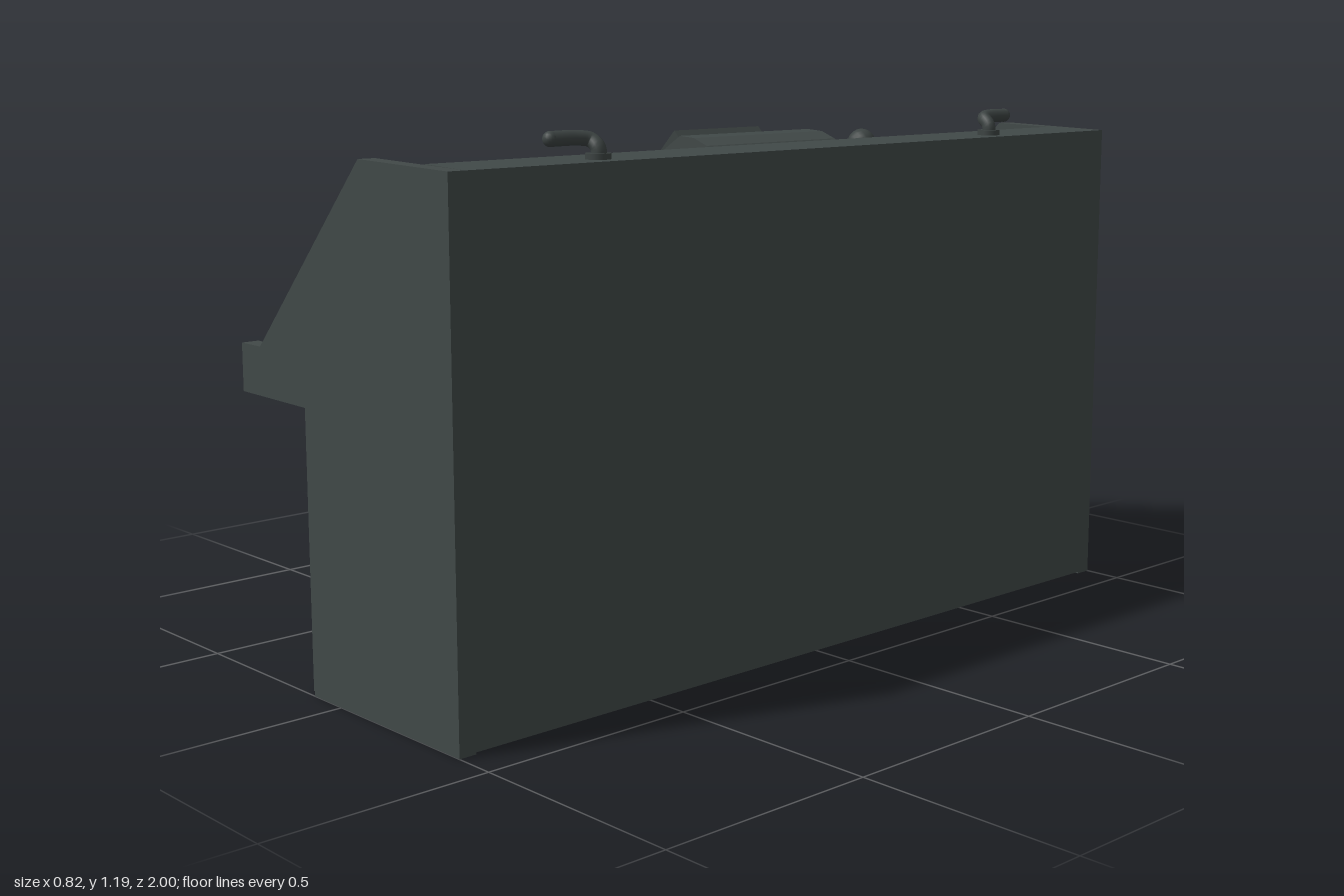
import * as THREE from 'three';

const mat = (name, hex) => {
  const m = new THREE.MeshStandardMaterial({ color: hex });
  m.name = name;
  return m;
};

export function createModel() {
  const root = new THREE.Group();
  root.name = 'controlDesk';
  const body = mat('slate body', 0x414948);
  const dark = mat('dark trim', 0x3c4342);
  const pale = mat('pale metal', 0x96938e);
  const glass = mat('grey screen', 0x858684);

  const add = (name, geo, material, parent = root, x = 0, y = 0, z = 0) => {
    const m = new THREE.Mesh(geo, material);
    m.name = name;
    m.position.set(x, y, z);
    parent.add(m);
    return m;
  };
  const box = (name, w, h, d, material, parent, x, y, z) =>
    add(name, new THREE.BoxGeometry(w, h, d), material, parent, x, y, z);
  const disc = (name, r, h, material, parent, x, y, z, r2 = r) =>
    add(name, new THREE.CylinderGeometry(r2, r, h, 24), material, parent, x, y, z);
  const ball = (name, r, material, parent, x, y, z) =>
    add(name, new THREE.SphereGeometry(r, 16, 10), material, parent, x, y, z);
  // Side profile (x, y) swept from z0 to z1
  const sweep = (name, pts, z0, z1, material, parent = root) => {
    const shape = new THREE.Shape(pts.map(p => new THREE.Vector2(p[0], p[1])));
    const geo = new THREE.ExtrudeGeometry(shape, { depth: z1 - z0, bevelEnabled: false });
    return add(name, geo, material, parent, 0, 0, z0);
  };
  const tube = (name, pts, r, material, parent = root, closed = false) => {
    const curve = new THREE.CatmullRomCurve3(pts.map(p => new THREE.Vector3(...p)), closed);
    return add(name, new THREE.TubeGeometry(curve, 28, r, 10, closed), material, parent);
  };
  // Tilted frame: local x runs up the slope, local y points out of the panel
  const slope = (name, x, y, angle) => {
    const g = new THREE.Group();
    g.name = name;
    g.position.set(x, y, 0);
    g.rotation.z = angle;
    root.add(g);
    return g;
  };

  // Desk, instrument slope, top and thick back wall
  sweep('deskBody', [[-0.343, 0.617], [-0.343, 0.72], [0.02, 0.77], [0.03, 0.82], [0.28, 1.1], [0.28, 1.135],
    [0.408, 1.13], [0.408, 0.004], [0.31, 0.004], [0.31, 0.617]], -0.96, 0.96, body);

  // End panels, thicker below the desk, with a front trim on each leg
  for (const s of [-1, 1]) {
    const z0 = s < 0 ? -1 : 0.96;
    sweep('endPanel', [[-0.343, 0.62], [-0.343, 0.725], [-0.27, 0.725], [0.115, 1.138], [0.408, 1.13],
      [0.408, 0], [-0.1, 0], [-0.1, 0.617]], z0, z0 + 0.04, body);
    box('legTrim', 0.032, 0.618, 0.06, body, root, -0.116, 0.309, s * 0.952);
    box('legLining', 0.41, 0.614, 0.03, body, root, 0.105, 0.311, s * 0.946);
    box('skirting', 0.41, 0.09, 0.012, body, root, 0.105, 0.049, s * 0.928);
  }

  // Centre pedestal with plinth and pull handle
  box('pedestal', 0.38, 0.62, 0.38, body, root, 0.122, 0.31, 0);
  box('plinth', 0.395, 0.09, 0.42, body, root, 0.1195, 0.045, 0.002);
  box('pedestalDoor', 0.008, 0.46, 0.31, dark, root, -0.07, 0.35, 0);
  tube('pedestalHandle', [[-0.073, 0.23, -0.15], [-0.106, 0.25, -0.15], [-0.116, 0.325, -0.15],
    [-0.106, 0.4, -0.15], [-0.073, 0.42, -0.15]], 0.012, pale);

  // Side monitors, gauges and small control boxes
  const panel = slope('instrumentSlope', 0.03, 0.82, Math.atan2(0.28, 0.25));
  for (const s of [-1, 1]) {
    const z = s * 0.7;
    const frame = new THREE.Group();
    frame.name = 'monitor';
    panel.add(frame);
    box('monitorBase', 0.35, 0.012, 0.48, body, frame, 0.195, 0.006, z);
    for (const e of [-1, 1]) {
      box('monitorRim', 0.03, 0.016, 0.44, body, frame, 0.195 + e * 0.15, 0.014, z);
      box('monitorRim', 0.33, 0.016, 0.03, body, frame, 0.195, 0.014, z + e * 0.215);
    }
    box('monitorScreen', 0.25, 0.008, 0.36, dark, frame, 0.195, 0.014, z);

    const gz = s * 0.325;
    disc('gaugeRim', 0.092, 0.026, pale, panel, 0.132, 0.013, gz);
    disc('gaugeFace', 0.076, 0.006, glass, panel, 0.132, 0.027, gz);
    box('controlBox', 0.13, 0.03, 0.17, dark, panel, 0.3, 0.015, s * 0.33);
  }
  disc('boxKnobStem', 0.02, 0.06, dark, panel, 0.31, 0.05, -0.37);
  ball('boxKnob', 0.033, dark, panel, 0.325, 0.08, -0.36);
  box('boxLabel', 0.05, 0.008, 0.07, glass, panel, 0.265, 0.033, -0.31);
  disc('boxButton', 0.025, 0.025, pale, panel, 0.3, 0.04, 0.33);

  // Raised centre console with a low hump on top
  sweep('centreConsole', [[-0.07, 0.7], [-0.1, 0.885], [-0.07, 0.935], [0.12, 1.125], [0.165, 1.153],
    [0.21, 1.15], [0.25, 1.135], [0.29, 1.1], [0.29, 0.7]], -0.2, 0.2, body);
  box('consoleDoor', 0.008, 0.1, 0.3, dark, root, -0.089, 0.82, 0).rotation.z = 0.16;
  const face = slope('consoleFace', -0.07, 0.935, Math.PI / 4);
  box('screenHousing', 0.25, 0.03, 0.26, dark, face, 0.165, 0.015, 0.04);
  box('screenBezel', 0.22, 0.008, 0.23, body, face, 0.17, 0.034, 0.04);
  box('screen', 0.16, 0.006, 0.17, glass, face, 0.185, 0.039, 0.015);
  for (let i = 0; i < 4; i++) {
    box('screenKey', 0.022, 0.012, 0.018, dark, face, 0.12 + i * 0.036, 0.04, 0.13);
    box('screenKey', 0.014, 0.01, 0.028, dark, face, 0.08, 0.04, -0.03 + i * 0.04);
  }
  for (const u of [0.12, 0.215]) {
    disc('consoleDial', 0.032, 0.014, pale, face, u, 0.007, -0.145);
    disc('consoleDialKnob', 0.018, 0.03, pale, face, u, 0.022, -0.145, 0.014);
  }
  for (let i = 0; i < 6; i++) {
    disc('rowButton', 0.021, 0.045, dark, face, 0.0, 0.018, -0.16 + i * 0.064);
  }

  // Main controller on its round base
  disc('controllerBase', 0.072, 0.016, pale, root, -0.203, 0.745, 0);
  disc('controllerCollar', 0.052, 0.04, dark, root, -0.2, 0.765, 0);
  box('controllerStem', 0.06, 0.1, 0.05, dark, root, -0.215, 0.8, 0);
  sweep('controllerGrip', [[-0.26, 0.83], [-0.26, 0.88], [-0.2, 0.876], [-0.15, 0.856], [-0.17, 0.835], [-0.22, 0.82]],
    -0.085, 0.08, dark);
  box('controllerBar', 0.1, 0.03, 0.04, dark, root, -0.14, 0.83, 0);
  box('controllerCatch', 0.04, 0.05, 0.1, dark, root, -0.11, 0.81, 0);
  box('controllerStrip', 0.012, 0.012, 0.1, pale, root, -0.268, 0.845, 0);

  // Brake lever on a round plate
  disc('leverPlate', 0.083, 0.016, pale, root, -0.12, 0.758, -0.375);
  disc('leverHub', 0.02, 0.03, pale, root, -0.12, 0.77, -0.375);
  tube('lever', [[-0.12, 0.785, -0.375], [-0.09, 0.795, -0.4], [-0.04, 0.8, -0.43]], 0.009, dark);
  tube('leverPointer', [[-0.12, 0.78, -0.375], [-0.1, 0.78, -0.36], [-0.07, 0.78, -0.34]], 0.006, dark);

  // Switch banks lying on the desk
  const desk = slope('deskTop', -0.34, 0.72, Math.atan2(0.05, 0.36));
  for (const z of [-0.65, 0.61]) {
    box('switchBank', 0.28, 0.01, 0.21, dark, desk, 0.215, 0.005, z);
    for (let i = 0; i < 5; i++) {
      box('switchRail', 0.26, 0.014, 0.025, body, desk, 0.215, 0.013, z - 0.082 + i * 0.041);
      box('switchCap', 0.045, 0.018, 0.03, dark, desk, 0.325, 0.018, z - 0.082 + i * 0.041);
    }
  }

  // Small holder and ringed key on the desk
  box('cardHolder', 0.09, 0.02, 0.1, body, desk, 0.31, 0.01, 0.36);
  tube('keyRing', [[0.14, 0.015, 0.8], [0.2, 0.03, 0.78], [0.26, 0.03, 0.81], [0.24, 0.03, 0.86],
    [0.18, 0.02, 0.85]], 0.006, dark, desk, true);
  disc('keyLock', 0.025, 0.02, dark, desk, 0.15, 0.01, 0.83);

  // Flat band grab handles on the desk edge
  const band = new THREE.Shape();
  band.absarc(0, 0, 0.06, Math.PI * 0.5, Math.PI * 1.5, false);
  band.absarc(0, 0, 0.05, Math.PI * 1.5, Math.PI * 0.5, true);
  const bandGeo = new THREE.ExtrudeGeometry(band, { depth: 0.03, bevelEnabled: false, curveSegments: 20 });
  bandGeo.rotateX(Math.PI / 2);
  for (const s of [-1, 1]) {
    const z = s * 0.36;
    add('grabHandle', bandGeo, pale, root, -0.35, 0.695, z);
    for (const e of [-1, 1]) {
      disc('handleFlange', 0.027, 0.018, pale, root, -0.351, 0.68, z + e * 0.065).rotation.z = Math.PI / 2;
    }

    // Hooks on the top
    disc('hookFoot', 0.026, 0.012, dark, root, 0.368, 1.138, s * 0.605);
    tube('topHook', [[0.37, 1.13, s * 0.605], [0.368, 1.155, s * 0.605], [0.35, 1.17, s * 0.61],
      [0.34, 1.174, s * 0.64], [0.336, 1.174, s * 0.7]], 0.016, dark);
    ball('hookTip', 0.016, dark, root, 0.336, 1.174, s * 0.7);
  }
  return root;
}
